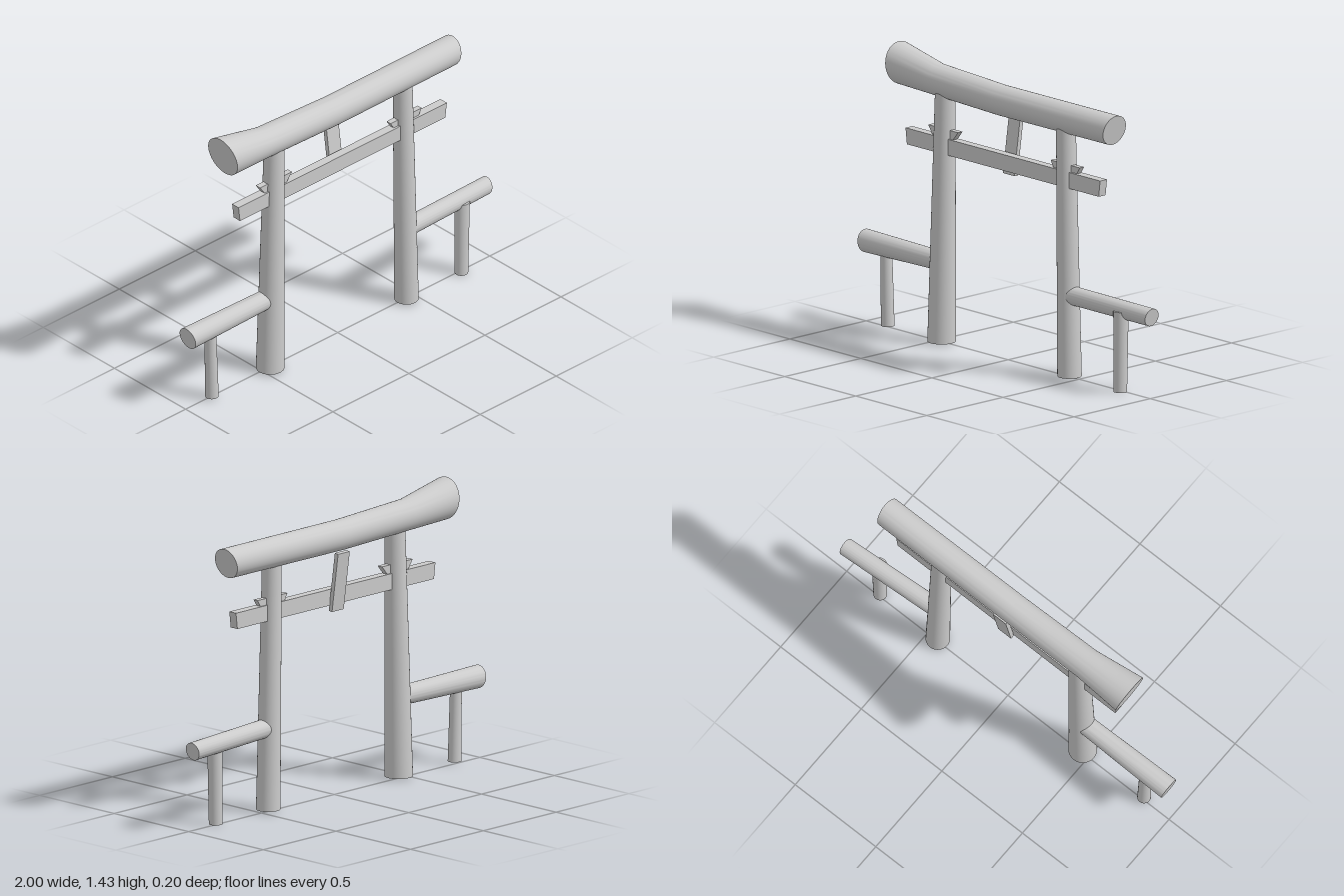
import * as THREE from 'three';
import { toCreasedNormals } from 'three/addons/utils/BufferGeometryUtils.js';

const material = new THREE.MeshStandardMaterial({ color: 0xcccccc });

export function createModel() {
  const gate = new THREE.Group();
  gate.name = 'gate';

  const add = (name, geometry) => {
    const mesh = new THREE.Mesh(geometry, material);
    mesh.name = name;
    gate.add(mesh);
    return mesh;
  };

  // Horizontal log through rings [x, y, z, radius, lean of the cut], ordered by x
  const log = (name, rings) => {
    const n = rings.length - 1;
    const geometry = new THREE.CylinderGeometry(1, 1, 1, 48, n);
    const p = geometry.attributes.position;
    for (let i = 0; i < p.count; i++) {
      const [x, y, z, r, lean] = rings[Math.round((p.getY(i) + 0.5) * n)];
      const dy = -p.getX(i) * r;
      p.setXYZ(i, x + lean * dy, y + dy, z + p.getZ(i) * r);
    }
    return add(name, toCreasedNormals(geometry, 0.6));
  };

  // Upright tapered post with level ends, leaning from x0 to x1
  const post = (name, x0, y0, r0, x1, y1, r1, z) => {
    const h = y1 - y0;
    const geometry = new THREE.CylinderGeometry(r1, r0, h, 48);
    geometry.applyMatrix4(new THREE.Matrix4().set(
      1, (x1 - x0) / h, 0, (x0 + x1) / 2,
      0, 1, 0, (y0 + y1) / 2,
      0, 0, 1, z,
      0, 0, 0, 1));
    return add(name, geometry);
  };

  // Board with sloping ends, cut from a trapezoid
  const board = (name, bottomL, bottomR, topL, topR, y0, y1, z0, z1) => {
    const shape = new THREE.Shape([
      new THREE.Vector2(bottomL, y0), new THREE.Vector2(bottomR, y0),
      new THREE.Vector2(topR, y1), new THREE.Vector2(topL, y1)]);
    const geometry = new THREE.ExtrudeGeometry(shape, { depth: z1 - z0, bevelEnabled: false });
    geometry.translate(0, 0, z0);
    return add(name, geometry);
  };

  // Top log, flared at one end
  log('topLog', [
    [-0.755, 1.335, 0, 0.102, -0.15],
    [-0.49, 1.302, 0, 0.078, 0],
    [-0.04, 1.285, 0, 0.075, 0],
    [0.745, 1.286, -0.003, 0.074, 0.2]]);

  // Main pillars
  post('rightPillar', -0.455, 0.012, 0.069, -0.429, 1.29, 0.049, 0.012);
  post('leftPillar', 0.443, 0.012, 0.059, 0.417, 1.29, 0.047, 0.01);

  // Tie beam and the wedges resting on it
  board('tieBeam', -0.675, 0.675, -0.685, 0.685, 0.95, 1.03, -0.01, 0.035);
  board('rightWedge', -0.505, -0.36, -0.535, -0.325, 1.03, 1.073, -0.004, 0.026);
  board('leftWedge', 0.345, 0.51, 0.325, 0.53, 1.03, 1.063, -0.004, 0.024);

  // Centre strut, tilted backward at the top
  const strut = add('centreStrut', new THREE.BoxGeometry(0.08, 0.296, 0.022));
  strut.position.set(0, 1.068, -0.034);
  strut.rotation.x = -0.138;

  // Side rails and their short posts
  log('rightRail', [
    [-0.993, 0.406, 0.007, 0.056, -0.13],
    [-0.45, 0.407, 0.008, 0.047, 0]]);
  log('leftRail', [
    [0.45, 0.416, 0.012, 0.046, 0],
    [0.992, 0.402, -0.018, 0.044, 0.17]]);
  post('rightShortPost', -0.837, 0.015, 0.033, -0.847, 0.4, 0.028, 0.01);
  post('leftShortPost', 0.802, 0.004, 0.033, 0.807, 0.405, 0.037, 0.012);

  return gate;
}
